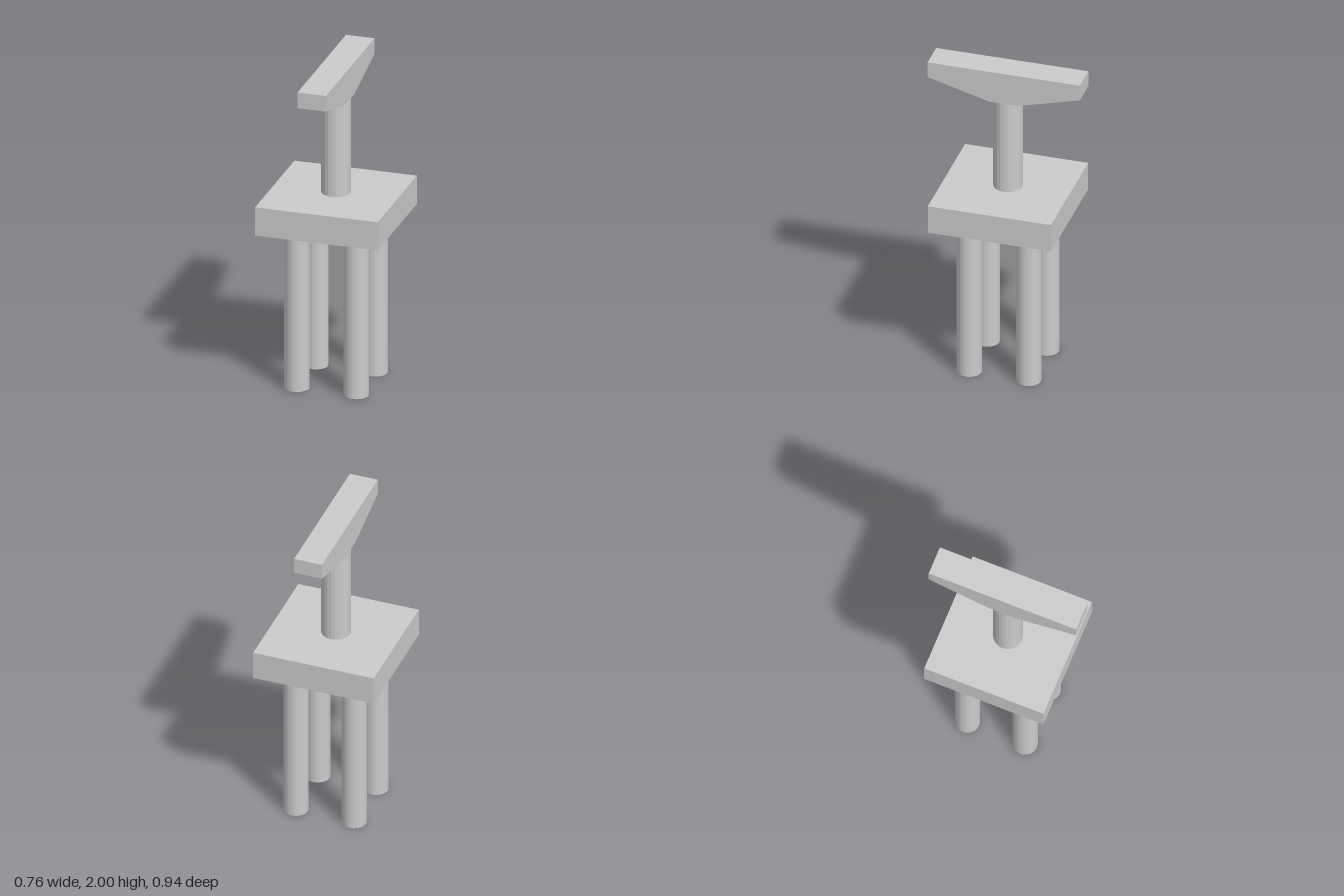
import * as THREE from 'three';

export function createModel() {
  const group = new THREE.Group();
  const material = new THREE.MeshStandardMaterial({ color: 0xcccccc, flatShading: true });

  const add = (name, geometry, x, y, z) => {
    const mesh = new THREE.Mesh(geometry, material);
    mesh.name = name;
    mesh.position.set(x, y, z);
    group.add(mesh);
  };
  const cylinder = (radius, height) => new THREE.CylinderGeometry(radius, radius, height, 24);

  // Four round piles under the slab
  const pileTop = 1.017, pileOffset = 0.183;
  for (const x of [-1, 1]) {
    for (const z of [-1, 1]) {
      add(`${z > 0 ? 'front' : 'back'}${x > 0 ? 'Left' : 'Right'}Pile`,
        cylinder(0.075, pileTop), x * pileOffset, pileTop / 2, z * pileOffset);
    }
  }

  // Square slab joining the piles
  const slabTop = 1.197;
  add('pileCap', new THREE.BoxGeometry(0.757, slabTop - pileTop, 0.757), 0, (pileTop + slabTop) / 2, 0);

  // Round column
  const columnTop = 1.797, radius = 0.088;
  add('column', cylinder(radius, columnTop - slabTop), 0, (slabTop + columnTop) / 2, 0);

  // Hammerhead beam: tapered profile along z, extruded across x
  const halfLength = 0.468, endBottom = 1.9;
  const profile = new THREE.Shape([
    new THREE.Vector2(-radius, columnTop),
    new THREE.Vector2(radius, columnTop),
    new THREE.Vector2(halfLength, endBottom),
    new THREE.Vector2(halfLength, 2),
    new THREE.Vector2(-halfLength, 2),
    new THREE.Vector2(-halfLength, endBottom),
  ]);
  const beam = new THREE.ExtrudeGeometry(profile, { depth: radius * 2, bevelEnabled: false });
  beam.translate(0, 0, -radius).rotateY(Math.PI / 2);
  add('hammerheadBeam', beam, 0, 0, 0);

  return group;
}
